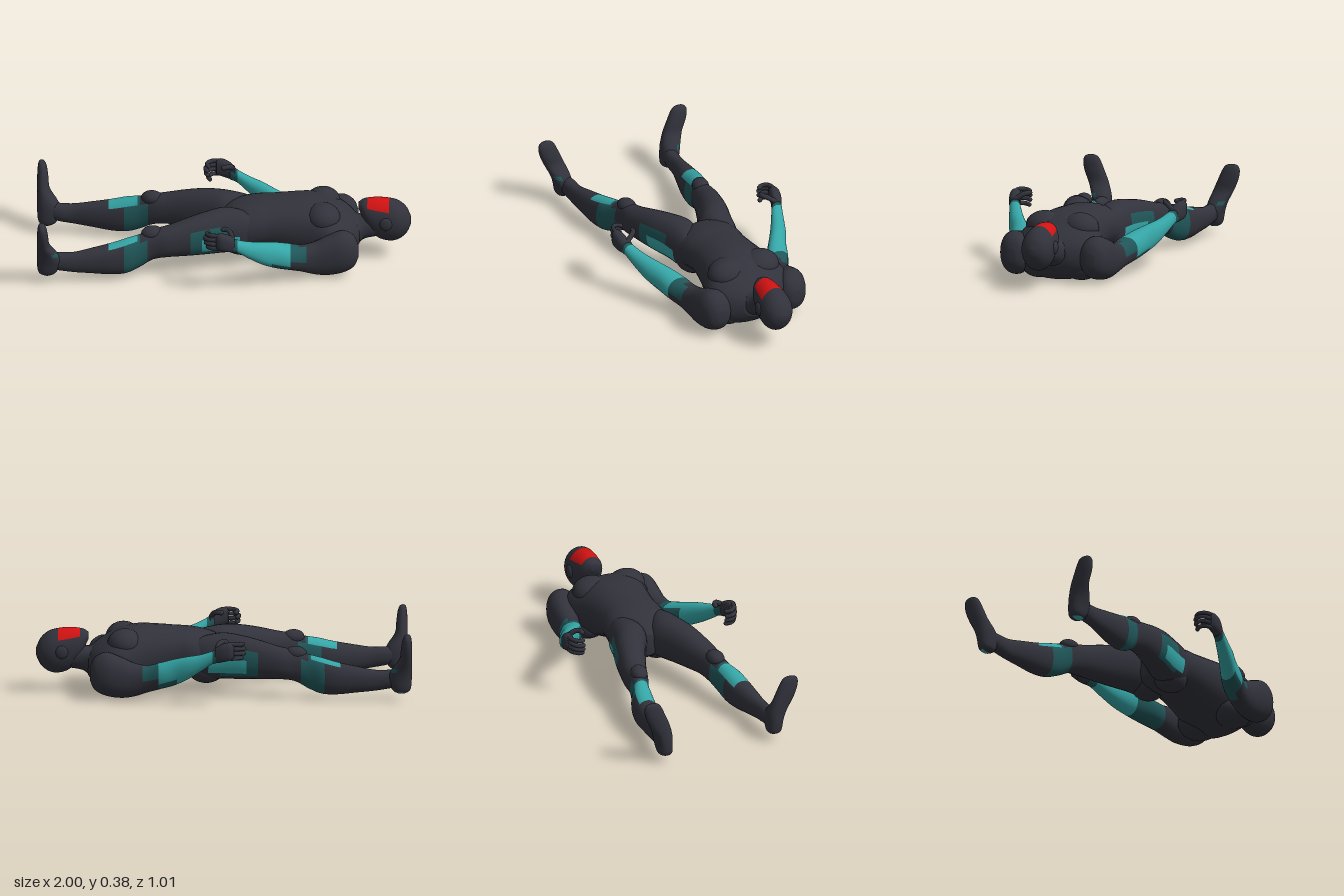
import * as THREE from 'three';

const mat = (name, color) => Object.assign(new THREE.MeshStandardMaterial({ color }), { name });

// Catmull-Rom blend of four numbers
const blend = (a, b, c, d, t) =>
  0.5 * (2 * b + (c - a) * t + (2 * a - 5 * b + 4 * c - d) * t * t + (3 * b - a - 3 * c + d) * t * t * t);

export function createModel() {
  const materials = [
    mat('charcoal suit', 0x31323b), mat('teal panel', 0x35a5a6),
    mat('dark teal panel', 0x205659), mat('red face panel', 0xd01212),
  ];
  const model = new THREE.Group();

  // Skin over rounded sections [t, u0, u1, z0, z1]; t runs along x or y, u is the other one.
  // paint(t, sin, cos) picks the material of each face.
  function loft(name, keys, { axis = 'x', side = 1, sides = 28, steps = 5, power = 2.2, paint = () => 0 } = {}) {
    const rings = [];
    for (let i = 0; i < keys.length - 1; i++) {
      const four = [-1, 0, 1, 2].map(k => keys[Math.min(keys.length - 1, Math.max(0, i + k))]);
      for (let s = i ? 1 : 0; s <= steps; s++)
        rings.push(keys[0].map((_, j) => blend(...four.map(r => r[j]), s / steps)));
    }
    const pos = [], index = materials.map(() => []);
    const put = (t, u, z) => pos.push(...(axis === 'x' ? [t, u, z * side] : [u, t, z * side]));
    const round = v => Math.sign(v) * Math.abs(v) ** (2 / power);
    for (const [t, u0, u1, z0, z1] of rings)
      for (let k = 0; k < sides; k++) {
        const a = k / sides * Math.PI * 2;
        put(t, (u0 + u1) / 2 + (u1 - u0) / 2 * round(Math.sin(a)), (z0 + z1) / 2 + (z1 - z0) / 2 * round(Math.cos(a)));
      }
    const last = rings.length - 1;
    for (const r of [rings[0], rings[last]]) put(r[0], (r[1] + r[2]) / 2, (r[3] + r[4]) / 2);
    // Choose the corner order that faces outward
    const flip = (rings[last][0] > rings[0][0]) !== (axis === 'x') !== (side < 0);
    const tri = (m, a, b, c) => index[m].push(...(flip ? [a, b, c] : [a, c, b]));
    for (let k = 0; k < sides; k++) {
      const n = (k + 1) % sides, a = (k + 0.5) / sides * Math.PI * 2;
      for (let i = 0; i < last; i++) {
        const m = paint((rings[i][0] + rings[i + 1][0]) / 2, Math.sin(a), Math.cos(a));
        const p = i * sides + k, q = i * sides + n;
        tri(m, p, p + sides, q);
        tri(m, q, p + sides, q + sides);
      }
      tri(paint(rings[0][0], Math.sin(a), Math.cos(a)), k, n, (last + 1) * sides);
      tri(paint(rings[last][0], Math.sin(a), Math.cos(a)), last * sides + n, last * sides + k, (last + 1) * sides + 1);
    }
    const geo = new THREE.BufferGeometry();
    geo.setAttribute('position', new THREE.Float32BufferAttribute(pos, 3));
    geo.setIndex(index.flat());
    let start = 0;
    index.forEach((list, m) => {
      if (list.length) geo.addGroup(start, list.length, m);
      start += list.length;
    });
    // Signed volume guards the winding
    let volume = 0;
    const v = [0, 1, 2].map(() => new THREE.Vector3()), id = geo.index.array;
    for (let i = 0; i < id.length; i += 3) {
      v.forEach((p, j) => p.fromArray(pos, id[i + j] * 3));
      volume += v[0].dot(v[1].clone().cross(v[2]));
    }
    if (volume < 0) for (let i = 0; i < id.length; i += 3) [id[i], id[i + 1]] = [id[i + 1], id[i]];
    geo.computeVertexNormals();
    const mesh = new THREE.Mesh(geo, materials);
    mesh.name = name;
    model.add(mesh);
  }

  function blob(name, x, y, z, rx, ry, rz, turn = 0) {
    const mesh = new THREE.Mesh(new THREE.SphereGeometry(1, 20, 14), materials[0]);
    mesh.position.set(x, y, z);
    mesh.scale.set(rx, ry, rz);
    mesh.rotation.y = turn;
    mesh.name = name;
    model.add(mesh);
  }

  // Finger: a tube with a rounded tip
  function finger(name, points, radius) {
    const path = points.map(p => new THREE.Vector3(...p));
    const tube = new THREE.Mesh(new THREE.TubeGeometry(new THREE.CatmullRomCurve3(path), 8, radius, 8), materials[0]);
    tube.name = name;
    model.add(tube);
    blob(name + 'Tip', ...points[points.length - 1], radius, radius, radius);
  }

  const even = ([x, y0, y1, w]) => [x, y0, y1, -w, w];

  // Torso, lying on its back with the head toward +x
  loft('torso', [
    [-0.03, 0.14, 0.26, 0.03], [0.03, 0.1, 0.315, 0.12], [0.1, 0.085, 0.34, 0.175], [0.18, 0.1, 0.355, 0.175],
    [0.25, 0.1, 0.36, 0.168], [0.35, 0.07, 0.368, 0.178], [0.45, 0.035, 0.37, 0.2], [0.55, 0.015, 0.35, 0.235],
    [0.62, 0.015, 0.31, 0.23], [0.68, 0.05, 0.27, 0.17], [0.72, 0.1, 0.23, 0.09],
  ].map(even));
  loft('neck', [[0.62, 0.06, 0.29, 0.15], [0.7, 0.09, 0.255, 0.1], [0.75, 0.125, 0.26, 0.068], [0.84, 0.14, 0.28, 0.06]].map(even));

  // Head with the red panel over the face
  loft('head', [
    [0.717, 0.29, 0.33, 0.02], [0.74, 0.24, 0.345, 0.05], [0.77, 0.18, 0.352, 0.068], [0.82, 0.128, 0.356, 0.079],
    [0.88, 0.11, 0.35, 0.087], [0.93, 0.12, 0.335, 0.083], [0.97, 0.152, 0.3, 0.062], [0.99, 0.19, 0.26, 0.033],
    [0.997, 0.21, 0.24, 0.01],
  ].map(even), {
    sides: 32, power: 2,
    paint: (x, s, c) => (s > 0 && x > 0.763 && x < 0.885 && Math.abs(c) < 0.78 ? 3 : 0),
  });

  for (const side of [1, -1]) {
    const tag = side > 0 ? 'front' : 'back';
    blob(tag + 'Ear', 0.862, 0.235, side * 0.083, 0.034, 0.036, 0.014);
    blob(tag + 'ChestMuscle', 0.525, 0.285, side * 0.1, 0.095, 0.08, 0.105, side * 0.2);
    blob(tag + 'Buttock', 0.09, 0.14, side * 0.08, 0.1, 0.075, 0.085);
    blob(tag + 'ShoulderBlade', 0.55, 0.09, side * 0.12, 0.12, 0.082, 0.1);

    // Shoulder, upper arm and forearm in one skin
    loft(tag + 'Arm', [
      [0.715, 0.11, 0.18, 0.2, 0.25], [0.69, 0.06, 0.235, 0.16, 0.29], [0.63, 0.03, 0.265, 0.15, 0.315],
      [0.55, 0.02, 0.24, 0.17, 0.318], [0.48, 0.03, 0.21, 0.19, 0.32], [0.41, 0.055, 0.2, 0.21, 0.335],
      [0.34, 0.08, 0.22, 0.235, 0.37], [0.27, 0.105, 0.245, 0.28, 0.395], [0.2, 0.145, 0.267, 0.33, 0.43],
      [0.13, 0.195, 0.285, 0.375, 0.455], [0.07, 0.24, 0.31, 0.41, 0.475], [0.03, 0.25, 0.335, 0.43, 0.49],
    ], {
      side,
      paint: (x, s, c) => {
        if (x < 0.075) return 2;
        if (x < 0.25) return 1;
        if (x < 0.36) return s > -0.35 && c > -0.75 ? 1 : 2;
        return x < 0.44 && (c > 0.2 ? s > 0 : x < 0.4) ? 2 : 0;
      },
    });

    // Hand with curled fingers
    loft(tag + 'Palm', [
      [0.055, 0.25, 0.325, 0.42, 0.48], [0.02, 0.255, 0.35, 0.435, 0.497], [-0.02, 0.265, 0.362, 0.445, 0.503],
      [-0.045, 0.275, 0.355, 0.45, 0.49],
    ], { side, power: 2.6 });
    for (let i = 0; i < 4; i++) {
      const y = 0.276 + i * 0.025, reach = [0, 0.012, 0.015, 0.006][i];
      finger(tag + 'Finger' + (i + 1), [
        [-0.025, y, side * 0.478], [-0.068 - reach, y, side * 0.468],
        [-0.088 - reach, y - 0.004, side * 0.438], [-0.078 - reach, y - 0.008, side * 0.418],
      ], 0.012);
    }
    finger(tag + 'Thumb', [
      [0.045, 0.32, side * 0.445], [0.03, 0.345, side * 0.41], [0.01, 0.35, side * 0.39], [-0.005, 0.348, side * 0.388],
    ], 0.014);

    // Leg from hip to ankle, with panels on the thigh and around the knee
    loft(tag + 'Leg', [
      [0.16, 0.14, 0.3, 0.08, 0.16], [0.1, 0.1, 0.325, 0.03, 0.187], [0, 0.095, 0.342, 0.012, 0.21],
      [-0.1, 0.1, 0.333, 0.055, 0.24], [-0.2, 0.105, 0.312, 0.1, 0.262], [-0.3, 0.11, 0.285, 0.14, 0.28],
      [-0.38, 0.1, 0.27, 0.165, 0.28], [-0.45, 0.065, 0.25, 0.19, 0.295], [-0.52, 0.04, 0.235, 0.2, 0.325],
      [-0.6, 0.038, 0.213, 0.213, 0.34], [-0.7, 0.05, 0.193, 0.24, 0.343], [-0.8, 0.062, 0.175, 0.267, 0.345],
      [-0.88, 0.075, 0.175, 0.27, 0.35], [-0.95, 0.09, 0.18, 0.285, 0.36],
    ], {
      side,
      paint: (x, s, c) => {
        if (x > -0.61 && x < -0.46 && s > 0.55 && c < 0.7) return 1;
        if (x > -0.54 && x < -0.41 && (x < -0.45 || s < 0.6)) return 2;
        if (c > 0 && x > -0.13 && x < 0.09 && s > -0.62 && s < 0.1) return 1;
        if (c > 0 && x > -0.18 && x < 0.03 && s > -0.75 && s < 0.4) return 2;
        return 0;
      },
    });
    blob(tag + 'Kneecap', -0.385, 0.25, side * 0.222, 0.06, 0.04, 0.045, side * 0.2);

    // Foot, toes up and turned outward
    loft(tag + 'Foot', [
      [0.05, -0.965, -0.925, 0.295, 0.335], [0.07, -0.993, -0.895, 0.278, 0.357], [0.13, -1, -0.872, 0.275, 0.37],
      [0.18, -1, -0.89, 0.28, 0.385], [0.24, -1, -0.932, 0.3, 0.412], [0.3, -1, -0.94, 0.325, 0.437],
      [0.35, -0.997, -0.948, 0.347, 0.445], [0.375, -0.992, -0.958, 0.365, 0.435], [0.383, -0.985, -0.968, 0.385, 0.415],
    ], {
      axis: 'y', side,
      paint: (y, s, c) => (y < 0.06 && c > 0 ? 1 : y > 0.165 && y < 0.195 && s > 0.5 && c > 0.25 ? 2 : 0),
    });
  }
  return model;
}
